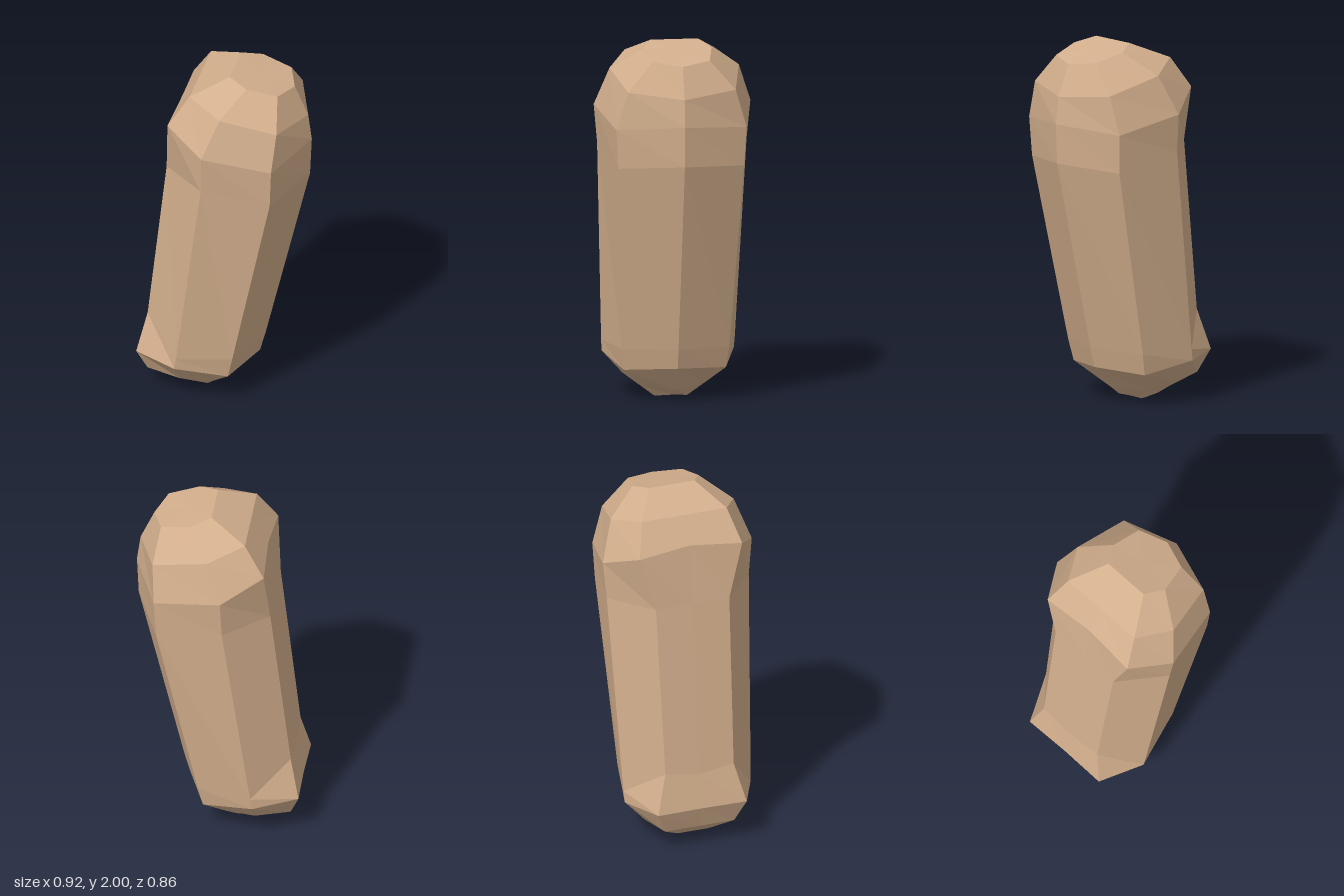
import * as THREE from 'three';

// Half cross-sections from top to bottom. Each row holds five [x, y, z] corners
// running from the +x ridge round the front to the middle of the -x wall.
const halfRings = [
  [[0.365, 1.91, 0], [0.307, 1.93, 0.157], [0.14, 1.97, 0.19], [0.033, 2.0, 0.13], [0.033, 2.0, 0]],
  [[0.44, 1.74, 0], [0.335, 1.77, 0.295], [0.03, 1.85, 0.355], [-0.165, 1.91, 0.245], [-0.165, 1.91, 0]],
  [[0.46, 1.59, 0], [0.32, 1.56, 0.357], [-0.053, 1.635, 0.43], [-0.275, 1.74, 0.295], [-0.26, 1.77, 0]],
  [[0.45, 1.37, 0], [0.31, 1.345, 0.345], [-0.06, 1.42, 0.41], [-0.3, 1.43, 0.212], [-0.3, 1.43, 0]],
  [[0.2, 0.31, 0], [0.087, 0.3, 0.295], [-0.21, 0.3, 0.367], [-0.41, 0.47, 0.197], [-0.415, 0.44, 0]],
  [[0.17, 0.2, 0], [0.06, 0.18, 0.28], [-0.22, 0.235, 0.363], [-0.46, 0.25, 0.255], [-0.455, 0.25, 0]],
  [[0.03, 0.06, 0], [-0.05, 0.07, 0.17], [-0.22, 0.11, 0.25], [-0.41, 0.12, 0.2], [-0.41, 0.12, 0]],
  [[-0.09, 0.005, 0], [-0.1, 0, 0.09], [-0.2, 0.02, 0.11], [-0.31, 0.04, 0.09], [-0.31, 0.04, 0]],
];

// Mirror a half ring across z = 0 to close it
const closeRing = (half) => [
  ...half,
  ...half.slice(1, 4).reverse().map(([x, y, z]) => [x, y, -z]),
];

const centre = (ring) => [0, 1, 2].map((k) => ring.reduce((s, p) => s + p[k], 0) / ring.length);

function loft(rings) {
  const pos = [];
  const tri = (a, b, c) => pos.push(...a, ...b, ...c);
  const n = rings[0].length;
  const last = rings[rings.length - 1];
  const topMid = centre(rings[0]);
  const bottomMid = centre(last);
  for (let i = 0; i < n; i++) {
    const j = (i + 1) % n;
    // Side faces
    for (let r = 0; r < rings.length - 1; r++) {
      const up = rings[r];
      const low = rings[r + 1];
      tri(up[i], up[j], low[i]);
      tri(up[j], low[j], low[i]);
    }
    // End caps
    tri(topMid, rings[0][j], rings[0][i]);
    tri(bottomMid, last[i], last[j]);
  }
  const geometry = new THREE.BufferGeometry();
  geometry.setAttribute('position', new THREE.Float32BufferAttribute(pos, 3));
  geometry.computeVertexNormals();
  return geometry;
}

export function createModel() {
  const group = new THREE.Group();
  group.name = 'fingerSegment';

  // Slanted, faceted body with rounded ends
  const material = new THREE.MeshStandardMaterial({ color: 0xd2ae8c, flatShading: true });
  const body = new THREE.Mesh(loft(halfRings.map(closeRing)), material);
  body.name = 'body';
  group.add(body);

  return group;
}
